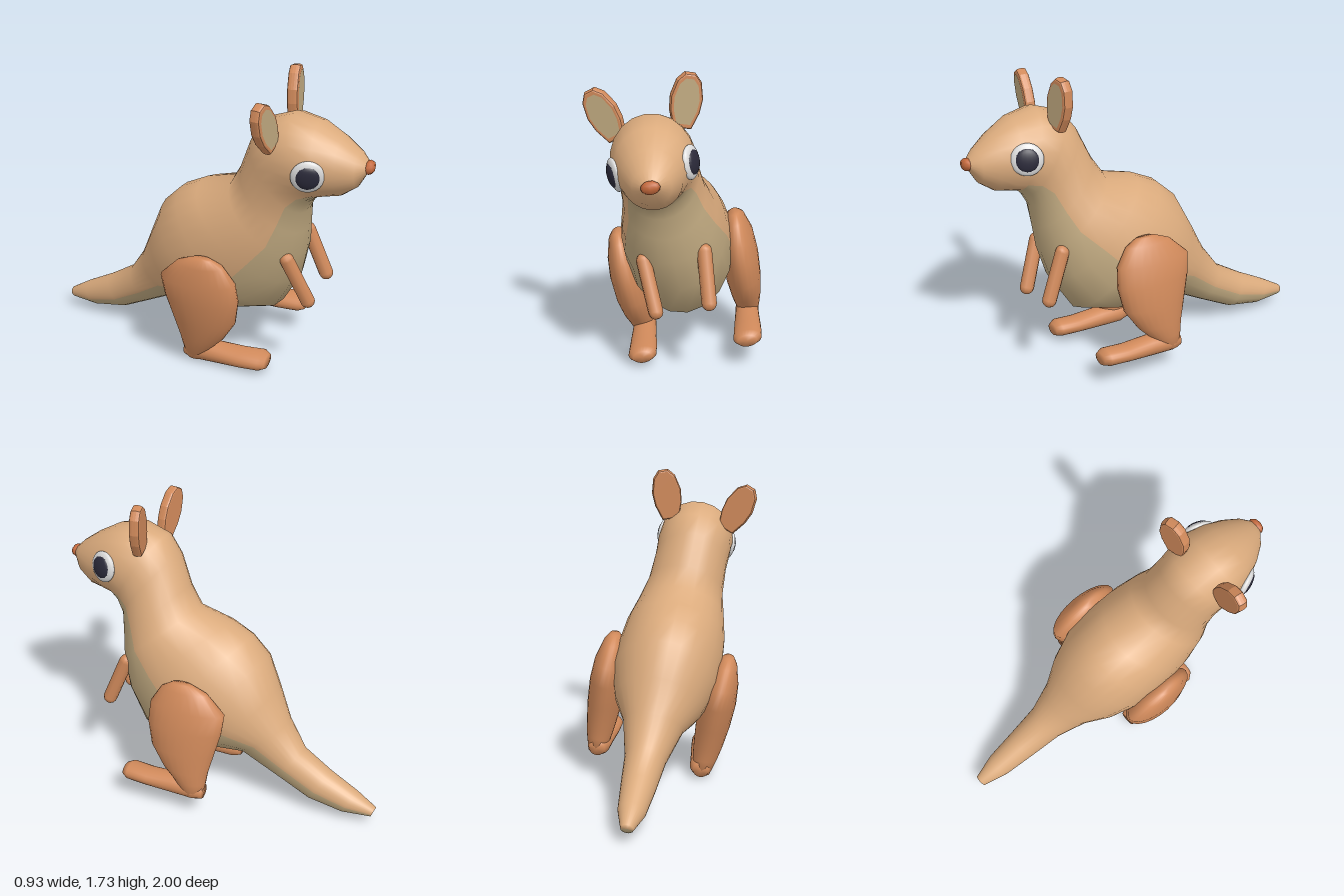
import * as THREE from 'three';

const mat = (name, color) => {
  const m = new THREE.MeshStandardMaterial({ color });
  m.name = name;
  return m;
};

// Closed skin through oval rings. Section: [zTop, yTop, zBottom, yBottom, halfWidth, underside share].
// The underside share of each ring goes to material group 1, the rest to group 0.
function loft(sections, xc = () => 0, firstUnder = Infinity) {
  const N = 24, U = 8;
  const pole = ([a, b, c, d, , f]) => [(a + c) / 2, (b + d) / 2, (a + c) / 2, (b + d) / 2, 0, f];
  const rings = [pole(sections[0]), ...sections, pole(sections.at(-1))];
  const pos = [], main = [], under = [];
  rings.forEach(([zt, yt, zb, yb, hw, share = 0.25], i) => {
    const t = Math.acos(1 - 2 * share);
    for (let k = 0; k < N; k++) {
      const a = k < U ? -t + (2 * t * k) / U : t + ((2 * Math.PI - 2 * t) * (k - U)) / (N - U);
      const c = Math.cos(a) / 2;
      pos.push(xc(i / (rings.length - 1)) + hw * Math.sin(a),
        (yt + yb) / 2 + c * (yb - yt), (zt + zb) / 2 + c * (zb - zt));
    }
  });
  for (let i = 0; i < rings.length - 1; i++) {
    for (let k = 0; k < N; k++) {
      const a = i * N + k, b = i * N + ((k + 1) % N);
      (i >= firstUnder && k < U ? under : main).push(a, a + N, b, a + N, b + N, b);
    }
  }
  const g = new THREE.BufferGeometry();
  g.setAttribute('position', new THREE.Float32BufferAttribute(pos, 3));
  g.setIndex([...main, ...under]);
  g.addGroup(0, main.length, 0);
  g.addGroup(main.length, under.length, 1);
  g.computeVertexNormals();
  return g;
}

export function createModel() {
  const coat = mat('coat', 0xdbab7d);
  const cream = mat('belly cream', 0xc0a980);
  const rust = mat('limb rust', 0xd18a5b);
  const dark = mat('nose rust', 0xc4693c);
  const white = mat('eye white', 0xdcdcdc);
  const black = mat('pupil', 0x2b2a3a);

  const root = new THREE.Group();
  root.name = 'kangaroo';
  const add = (name, geo, material, parent = root) => {
    const m = new THREE.Mesh(geo, material);
    m.name = name;
    parent.add(m);
    return m;
  };

  // Head, neck, trunk and tail in one skin, from muzzle to tail tip
  add('body', loft([
    [0.957, 1.322, 0.949, 1.281, 0.035],
    [0.9, 1.383, 0.896, 1.19, 0.1],
    [0.806, 1.454, 0.816, 1.134, 0.155],
    [0.681, 1.525, 0.736, 1.119, 0.195, 0.12],
    [0.538, 1.556, 0.685, 1.108, 0.22, 0.1],
    [0.387, 1.505, 0.646, 1.068, 0.22, 0.17],
    [0.309, 1.403, 0.612, 0.997, 0.215, 0.23],
    [0.234, 1.22, 0.601, 0.875, 0.225, 0.29],
    [0.166, 1.108, 0.586, 0.732, 0.26, 0.34],
    [-0.035, 1.058, 0.541, 0.549, 0.295, 0.37],
    [-0.166, 0.997, 0.425, 0.356, 0.31, 0.38],
    [-0.274, 0.895, 0.194, 0.295, 0.3, 0.39],
    [-0.359, 0.712, -0.01, 0.29, 0.25, 0.41],
    [-0.445, 0.529, -0.183, 0.3, 0.17, 0.43],
    [-0.552, 0.376, -0.413, 0.183, 0.115, 0.44],
    [-0.721, 0.275, -0.613, 0.086, 0.095, 0.42],
    [-0.891, 0.188, -0.815, 0.051, 0.075, 0.42],
    [-1.011, 0.117, -0.989, 0.061, 0.035, 0.42],
  ], () => 0, 5), [coat, cream]);

  const nose = add('nose', new THREE.SphereGeometry(1, 8, 6), dark);
  nose.scale.set(0.05, 0.036, 0.03);
  nose.position.set(0, 1.306, 0.953);

  // Small crossed mark under the tail root
  for (const turn of [0, Math.PI / 2]) {
    const bar = add('underTailMark', new THREE.SphereGeometry(1, 8, 6), dark);
    bar.scale.set(0.012, 0.014, 0.036);
    bar.rotation.y = turn;
    bar.position.set(0, 0.302, -0.165);
  }

  // Ear outline, rising from its base
  const half = [[0.045, 0], [0.075, 0.09], [0.082, 0.17], [0.06, 0.26], [0.025, 0.3]];
  const outline = (k) => new THREE.Shape(
    [...half, ...half.map(([x, y]) => [-x, y]).reverse()]
      .map(([x, y]) => new THREE.Vector2(x * k, 0.15 + (y - 0.15) * k)));
  const earGeo = new THREE.ExtrudeGeometry(outline(0.9), {
    depth: 0.015, bevelSize: 0.012, bevelThickness: 0.022, bevelSegments: 3, curveSegments: 4,
  });
  const innerGeo = new THREE.ShapeGeometry(outline(0.8));

  for (const s of [1, -1]) {
    const side = s > 0 ? 'left' : 'right';

    const ear = new THREE.Group();
    ear.name = side + 'Ear';
    ear.position.set(s * 0.165, 1.43, 0.47);
    ear.rotation.set(0, s * 0.15, -s * 0.34);
    root.add(ear);
    add('earShell', earGeo, rust, ear);
    add('innerEar', innerGeo, cream, ear).position.z = 0.04;

    const eye = new THREE.Group();
    eye.name = side + 'Eye';
    eye.position.set(s * 0.195, 1.31, 0.685);
    eye.rotation.y = s * 1.19;
    root.add(eye);
    add('eyeball', new THREE.SphereGeometry(1, 16, 12), white, eye).scale.set(0.09, 0.09, 0.03);
    const pupil = add('pupil', new THREE.SphereGeometry(1, 16, 12), black, eye);
    pupil.scale.set(0.065, 0.065, 0.022);
    pupil.position.z = 0.016;

    // Arm: slim capsule hanging down and forward
    const top = new THREE.Vector3(s * 0.165, 0.75, 0.53);
    const hand = new THREE.Vector3(s * 0.145, 0.49, 0.632);
    const dir = top.clone().sub(hand);
    const arm = add(side + 'Arm', new THREE.CapsuleGeometry(0.041, dir.length(), 4, 10), rust);
    arm.position.copy(top).add(hand).multiplyScalar(0.5);
    arm.quaternion.setFromUnitVectors(new THREE.Vector3(0, 1, 0), dir.normalize());

    // Leg rings run down from hip to heel: [height, z centre, half depth, half width]
    const leg = [
      [0.775, 0.1, 0.06, 0.03], [0.735, 0.085, 0.14, 0.06], [0.63, 0.062, 0.225, 0.092],
      [0.51, 0.072, 0.222, 0.105], [0.366, 0.075, 0.19, 0.1], [0.244, 0.05, 0.135, 0.085],
      [0.173, 0.02, 0.095, 0.072], [0.085, 0, 0.06, 0.05],
    ].map(([y, z, d, w]) => [z - d, y, z + d, y, w]);
    add(side + 'Leg', loft(leg, (t) => s * (0.34 - 0.03 * t)), [rust, rust]);

    // Foot runs from toe back to heel
    add(side + 'Foot', loft([
      [0.435, 0.165, 0.435, 0.095, 0.055], [0.4, 0.182, 0.4, 0.083, 0.08],
      [0.28, 0.175, 0.28, 0.075, 0.078], [0.12, 0.185, 0.12, 0.066, 0.07],
      [-0.01, 0.185, -0.01, 0.062, 0.066], [-0.065, 0.16, -0.065, 0.075, 0.045],
    ], (t) => s * (0.295 + 0.015 * t)), [rust, rust]);
  }

  // Whole figure leans to its right and turns slightly to its left
  const z = new THREE.Vector3(0.181, 0, 0.983).normalize();
  const x = new THREE.Vector3(0.967, 0.18, -0.178).normalize();
  const y = z.clone().cross(x).normalize();
  root.quaternion.setFromRotationMatrix(new THREE.Matrix4().makeBasis(x, y, z));
  root.position.x = 0.048;

  const model = new THREE.Group();
  model.name = 'model';
  model.add(root);
  return model;
}
